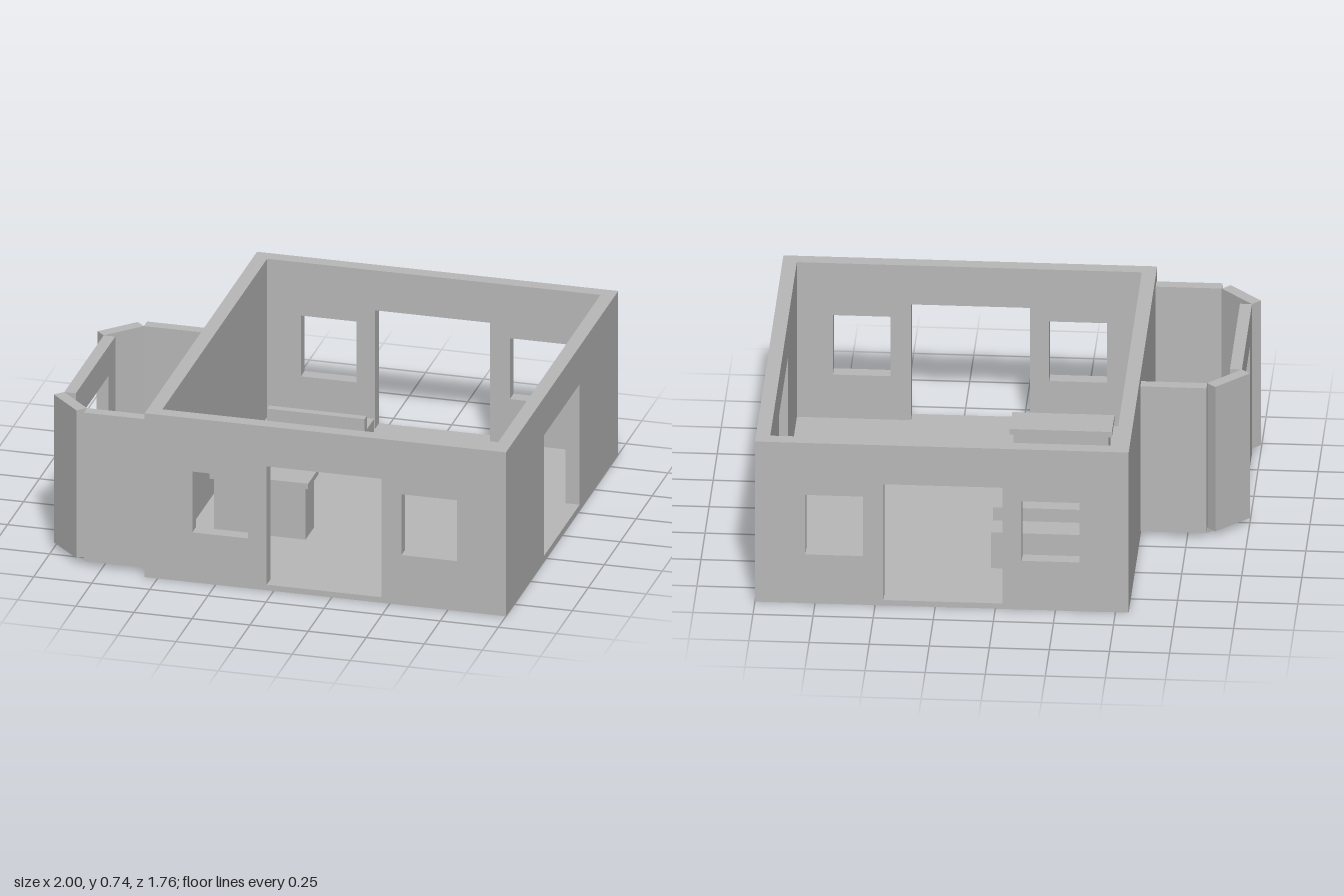
import * as THREE from 'three';

const FLOOR = 0.025;

export function createModel() {
  const model = new THREE.Group();
  const grey = new THREE.MeshStandardMaterial({ color: 0xb8b8b8 });
  grey.name = 'plain grey';

  const add = (name, geometry, parent = model) => {
    const mesh = new THREE.Mesh(geometry, grey);
    mesh.name = name;
    parent.add(mesh);
    return mesh;
  };

  // Box given by its lower and upper limits
  const block = (name, [x0, x1], [y0, y1], [z0, z1], parent) =>
    add(name, new THREE.BoxGeometry(x1 - x0, y1 - y0, z1 - z0), parent)
      .position.set((x0 + x1) / 2, (y0 + y1) / 2, (z0 + z1) / 2);

  // Upright wall along a plan line; openings are [start, end, bottom, top].
  // An opening that reaches the foot of the wall is cut into its outline.
  const wall = (name, [ax, az], [bx, bz], thickness, y0, y1, openings = []) => {
    const length = Math.hypot(bx - ax, bz - az);
    const outline = [[0, y0]];
    const holes = [];
    for (const [u0, u1, v0, v1] of openings) {
      const corners = [[u0, v0], [u0, v1], [u1, v1], [u1, v0]];
      if (v0 <= y0) outline.push(...corners);
      else holes.push(corners);
    }
    outline.push([length, y0], [length, y1], [0, y1]);
    const points = (list) => list.map(([u, v]) => new THREE.Vector2(u, v));
    const shape = new THREE.Shape(points(outline));
    holes.forEach((hole) => shape.holes.push(new THREE.Path(points(hole))));
    const mesh = add(name, new THREE.ExtrudeGeometry(shape, { depth: thickness, bevelEnabled: false }));
    mesh.position.set(ax, 0, az);
    mesh.rotation.y = Math.atan2(az - bz, bx - ax);
  };

  // Main room: floor and four walls
  const top = 0.74, t = 0.06;
  const left = -0.555, right = 1, depth = 0.88;
  block('roomFloor', [left + t, right - t], [0, FLOOR], [t - depth, depth - t]);

  const facade = [
    [-0.35, -0.11, 0.225, 0.5],
    [-0.03, 0.465, FLOOR, 0.56],
    [0.55, 0.79, 0.225, 0.5],
  ].map(([x0, x1, v0, v1]) => [x0 - left, x1 - left, v0, v1]);
  wall('frontWall', [left, depth - t], [right, depth - t], t, 0, top, facade);
  wall('backWall', [left, -depth], [right, -depth], t, 0, top, facade);

  const inner = depth - t;
  wall('leftWall', [right, -inner], [right, inner], t, 0, top,
    [[inner - 0.275, inner + 0.28, FLOOR, 0.57]]);
  wall('rightWall', [left + t, -inner], [left + t, inner], t, 0, top);

  // Bay: chamfered floor slab
  const bayPlan = [[left, -0.108], [-0.83, -0.108], [-0.965, 0.03],
    [-0.965, 0.648], [-0.83, 0.785], [left, 0.785]];
  const bayShape = new THREE.Shape(bayPlan.map(([x, z]) => new THREE.Vector2(x, -z)));
  add('bayFloor', new THREE.ExtrudeGeometry(bayShape, { depth: FLOOR, bevelEnabled: false }))
    .rotation.x = -Math.PI / 2;

  // Bay: walls standing on the slab, with a doorway in the outer one
  const bayTop = 0.693, bt = 0.05;
  wall('bayBackWall', [-0.83, -0.158], [left, -0.158], bt, FLOOR, bayTop);
  wall('bayFrontWall', [-0.83, 0.785], [left, 0.785], bt, FLOOR, bayTop);
  wall('bayBackCorner', [-0.83, -0.108], [-0.965, 0.03], bt, FLOOR, bayTop);
  wall('bayFrontCorner', [-0.965, 0.648], [-0.83, 0.785], bt, FLOOR, bayTop);
  wall('bayOuterWall', [-0.915, 0.03], [-0.915, 0.648], bt, FLOOR, bayTop,
    [[0.11, 0.51, FLOOR, 0.56]]);

  // Counter with an overhanging top
  const counter = new THREE.Group();
  counter.name = 'counter';
  model.add(counter);
  block('counterBody', [-0.395, 0], [FLOOR, 0.26], [0.25, 0.38], counter);
  block('counterTop', [-0.41, 0.015], [0.26, 0.285], [0.235, 0.395], counter);

  // Bench with a raised back panel
  const bench = new THREE.Group();
  bench.name = 'bench';
  model.add(bench);
  block('benchSeat', [-0.38, 0.04], [FLOOR, 0.19], [-0.55, -0.435], bench);
  block('benchBack', [-0.38, 0.04], [FLOOR, 0.25], [-0.435, -0.4], bench);

  return model;
}
